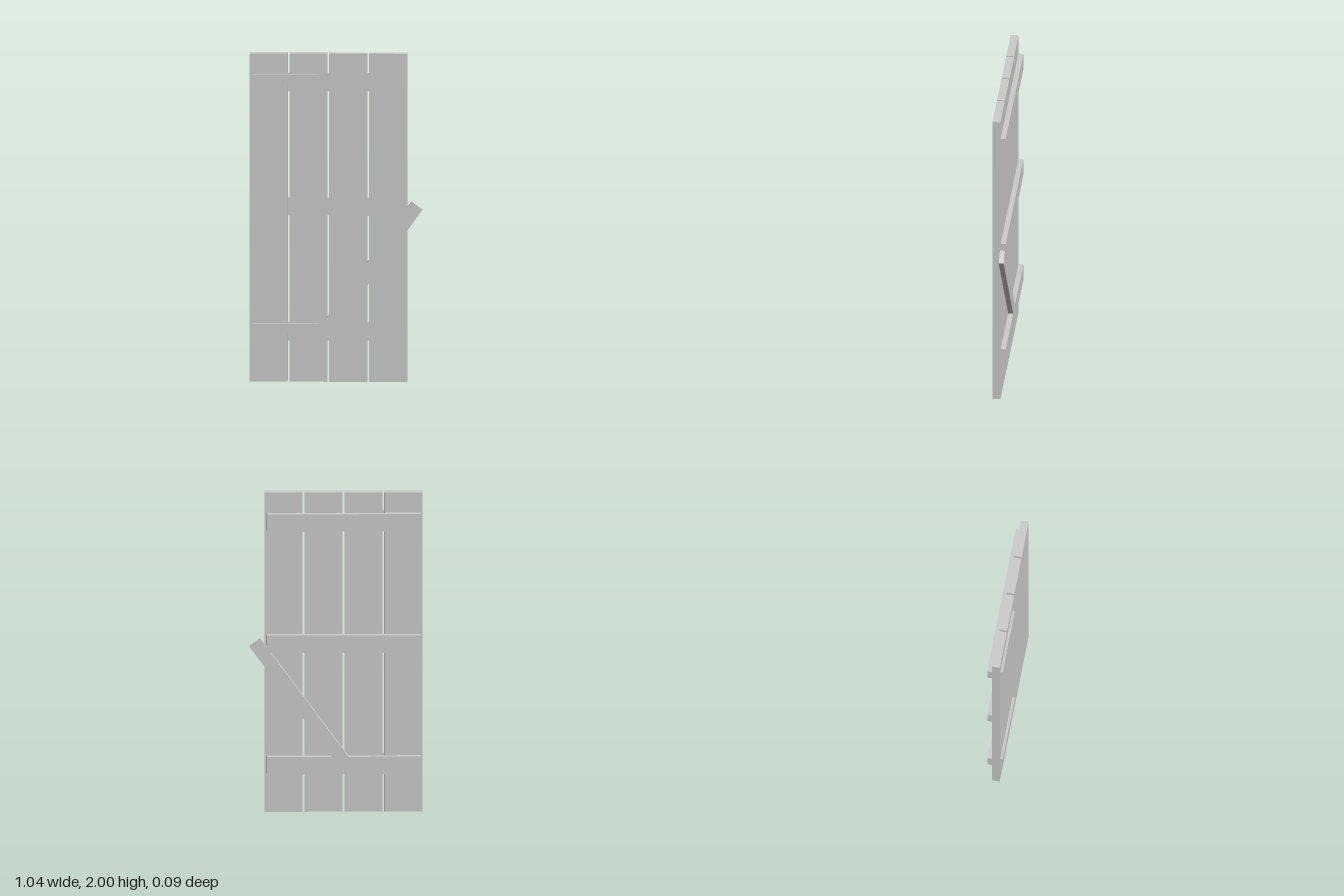
import * as THREE from 'three';

export function createModel() {
  const group = new THREE.Group();
  group.name = 'plankDoor';
  const grey = new THREE.MeshStandardMaterial({ color: 0xcccccc });
  grey.name = 'plain grey';

  // Box given by its lower and upper limits on each axis
  const board = (name, x0, x1, y0, y1, z0, z1) => {
    const mesh = new THREE.Mesh(new THREE.BoxGeometry(x1 - x0, y1 - y0, z1 - z0), grey);
    mesh.position.set((x0 + x1) / 2, (y0 + y1) / 2, (z0 + z1) / 2);
    mesh.name = name;
    group.add(mesh);
    return mesh;
  };

  // Depth layers from back to front
  const back = -0.046, plankBack = -0.0155, plankFront = 0.032, front = 0.046;

  // Four upright planks with narrow gaps
  for (let i = 0; i < 4; i++) {
    const x = -0.521 + i * 0.24;
    board('plank' + (i + 1), x, x + 0.23, 0, 2, plankBack, plankFront);
  }

  // Three cross rails on the back
  ['lowerRail', 'middleRail', 'upperRail'].forEach((name, i) => {
    const y = 0.244 + i * 0.76;
    board(name, -0.512, 0.415, y, y + 0.109, back, plankBack);
  });

  // Diagonal brace from the lower rail past the middle rail
  const brace = board('diagonalBrace', -0.266, 0.684, 0.639, 0.721, back, plankBack);
  brace.rotation.z = THREE.MathUtils.degToRad(54.4);

  // Two hinge straps on the front
  board('lowerHingeStrap', -0.503, -0.103, 0.3, 0.354, plankFront, front);
  board('upperHingeStrap', -0.503, -0.103, 1.82, 1.874, plankFront, front);

  return group;
}
